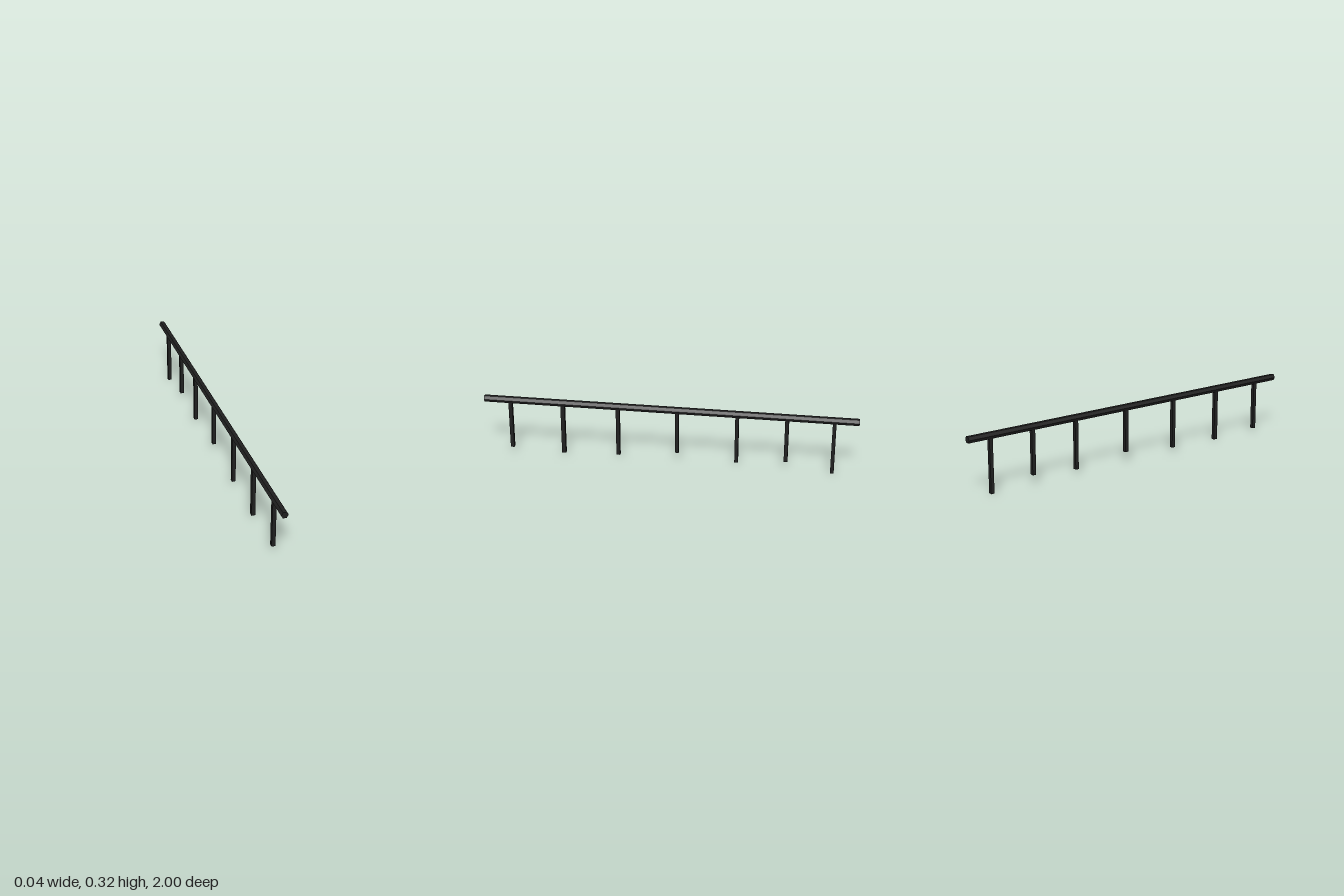
import * as THREE from 'three';

export function createModel() {
  const model = new THREE.Group();
  model.name = 'handrail';
  const blackMetal = new THREE.MeshStandardMaterial({ color: 0x1f1f1f, flatShading: true });
  blackMetal.name = 'black metal';

  // Hexagonal rail running along z, flat side up
  const railY = 0.303;
  const railGeometry = new THREE.CylinderGeometry(0.019, 0.019, 2, 6);
  railGeometry.rotateY(Math.PI / 2);
  railGeometry.rotateX(Math.PI / 2);
  const rail = new THREE.Mesh(railGeometry, blackMetal);
  rail.name = 'rail';
  rail.position.y = railY;
  model.add(rail);

  // Square posts: [z, bottom height, depth], unevenly spaced and cut
  const posts = [
    [0.858, 0.025, 0.02],
    [0.572, 0.012, 0.022],
    [0.273, 0.022, 0.02],
    [-0.045, 0.058, 0.02],
    [-0.364, 0.025, 0.019],
    [-0.626, 0.048, 0.02],
    [-0.872, 0, 0.019],
  ];
  posts.forEach(([z, bottom, depth], i) => {
    const height = railY - 0.008 - bottom;
    const post = new THREE.Mesh(new THREE.BoxGeometry(0.02, height, depth), blackMetal);
    post.name = `post${i + 1}`;
    post.position.set(0, bottom + height / 2, z);
    model.add(post);
  });

  return model;
}
